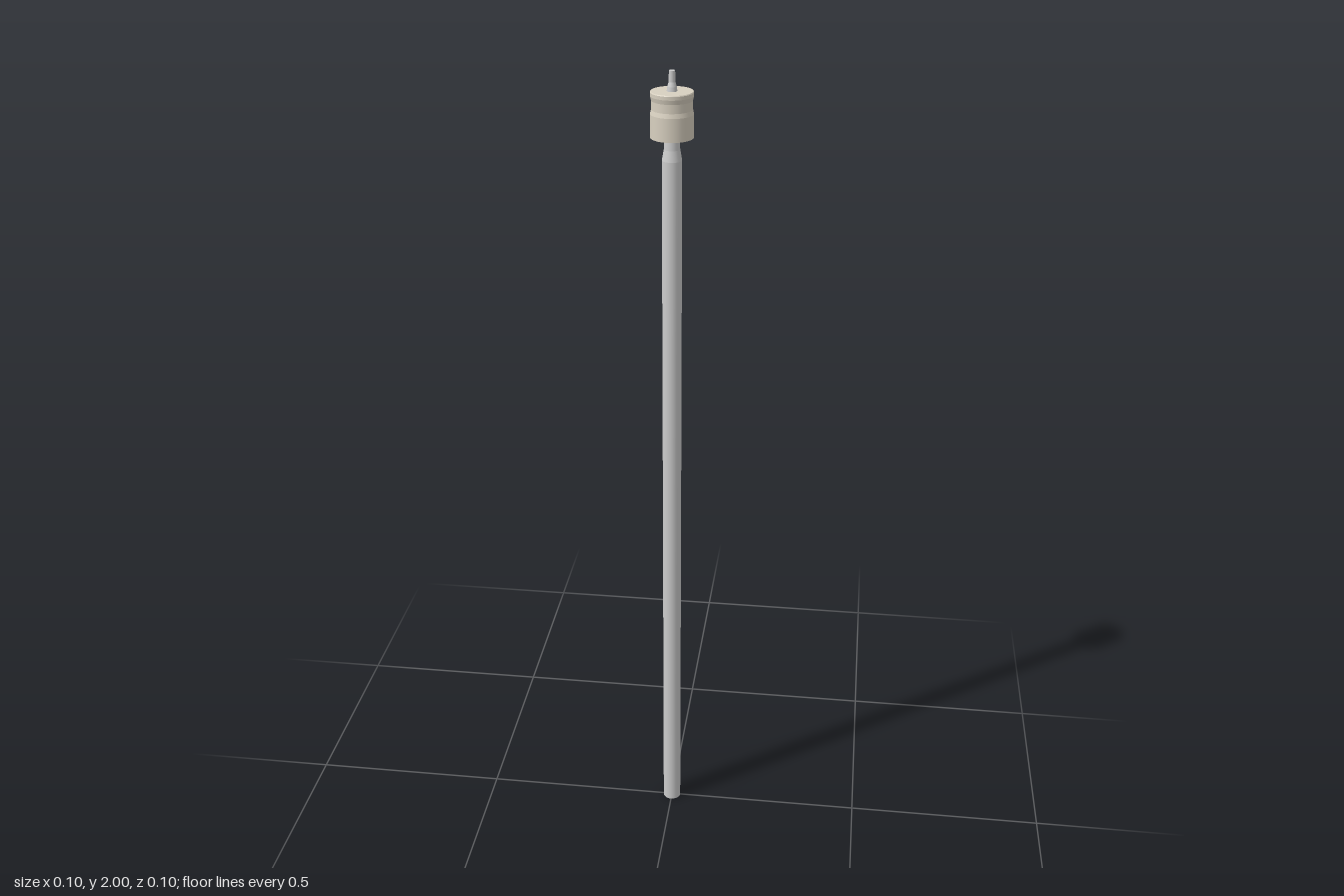
import * as THREE from 'three';

const SIDES = 32;

// Builds a turned part from [radius, height] pairs, with crisp edges between bands.
function turned(name, profile, color) {
  const group = new THREE.Group();
  group.name = name;
  const material = new THREE.MeshStandardMaterial({ color });
  for (let i = 0; i < profile.length - 1; i++) {
    const points = [profile[i], profile[i + 1]].map(([r, y]) => new THREE.Vector2(r, y));
    const band = new THREE.Mesh(new THREE.LatheGeometry(points, SIDES), material);
    band.name = name + 'Band';
    group.add(band);
  }
  return group;
}

export function createModel() {
  const model = new THREE.Group();
  model.name = 'cappedPole';

  // Long shaft with a stepped, slightly tapering neck
  model.add(turned('pole', [
    [0, 0], [0.023, 0], [0.023, 1.8], [0.0185, 1.825], [0.017, 1.853], [0, 1.853],
  ], 0xcccccc));

  // Drum-shaped head with a shallow waist between its rims
  model.add(turned('head', [
    [0, 1.852], [0.049, 1.852], [0.049, 1.905], [0.0465, 1.915],
    [0.0465, 1.935], [0.049, 1.945], [0.049, 1.953], [0.0475, 1.955], [0, 1.955],
  ], 0xd8d0c0));

  // Tapered pin on top
  model.add(turned('pin', [
    [0, 1.954], [0.012, 1.954], [0.0105, 1.965], [0.0075, 1.975], [0.007, 2], [0, 2],
  ], 0xcccccc));

  return model;
}
